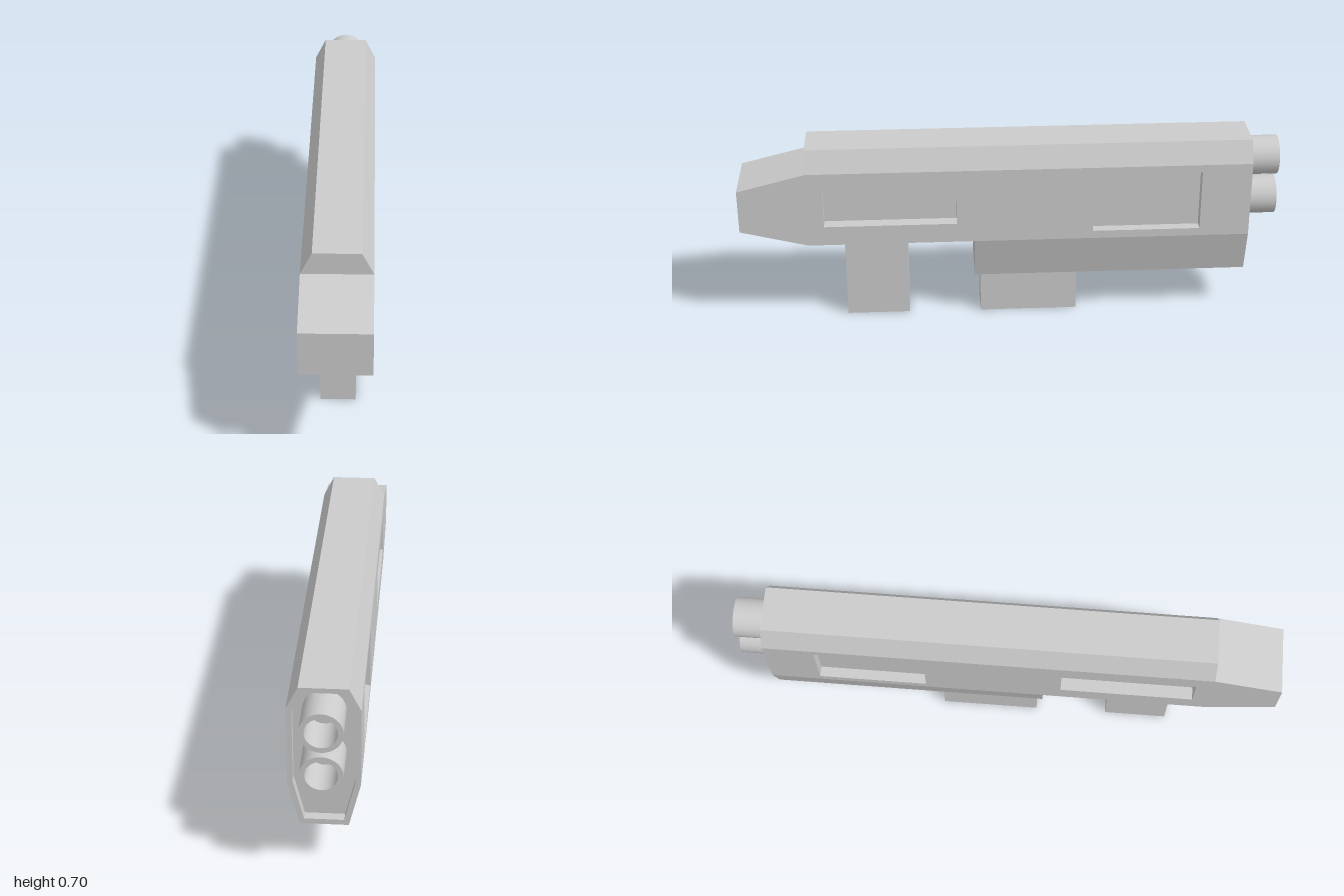
import * as THREE from 'three';

const grey = new THREE.MeshStandardMaterial({ color: 0xcccccc });
const inside = new THREE.MeshStandardMaterial({ color: 0xcccccc, side: THREE.BackSide });

// Collects flat polygons; each is wound to face the given outward direction.
class Skin {
  positions = [];
  face(points, outward) {
    const [a, b, c] = points.map((p) => new THREE.Vector3(...p));
    const normal = b.sub(a).cross(c.sub(a));
    const p = normal.dot(new THREE.Vector3(...outward)) < 0 ? [...points].reverse() : points;
    for (let i = 1; i < p.length - 1; i++) this.positions.push(...p[0], ...p[i], ...p[i + 1]);
  }
  // The same polygon on the left and the right side
  pair(points, outward) {
    for (const s of [1, -1]) {
      this.face(points.map(([x, y, z]) => [s * x, y, z]), [s * outward[0], outward[1], outward[2]]);
    }
  }
  mesh(name) {
    const geometry = new THREE.BufferGeometry();
    geometry.setAttribute('position', new THREE.Float32BufferAttribute(this.positions, 3));
    geometry.computeVertexNormals();
    const mesh = new THREE.Mesh(geometry, grey);
    mesh.name = name;
    return mesh;
  }
}

const W = 0.123, N = 0.083;                        // half widths: sides, top and keel
const TOP = 0.7, HIGH = 0.62, LOW = 0.33, KEEL = 0.165;
const NOSE_HIGH = 0.557, NOSE_LOW = 0.393;
const FRONT = 1, SHOULDER = 0.75, KEEL_FRONT = 0.135, BACK = -0.89;
const FLOOR = BACK + 0.035;                        // floor of the rear recess

const windows = [
  { z0: 0.2, z1: 0.69, y0: 0.405, y1: 0.55, depth: 0.048 },
  { z0: -0.705, z1: -0.305, y0: 0.36, y1: 0.59, depth: 0.038 },
];

function createHull() {
  const skin = new Skin();
  // Polygon across the full width between two edges [halfWidth, y, z]
  const across = ([w0, y0, z0], [w1, y1, z1], outward) =>
    skin.face([[-w0, y0, z0], [w0, y0, z0], [w1, y1, z1], [-w1, y1, z1]], outward);

  // Top, shoulder, nose, belly and keel
  across([N, TOP, BACK], [N, TOP, SHOULDER], [0, 1, 0]);
  across([N, TOP, SHOULDER], [W, HIGH, SHOULDER], [0, 0, 1]);
  across([W, HIGH, SHOULDER], [W, NOSE_HIGH, FRONT], [0, 1, 0]);
  across([W, NOSE_HIGH, FRONT], [W, NOSE_LOW, FRONT], [0, 0, 1]);
  across([W, NOSE_LOW, FRONT], [W, LOW, SHOULDER], [0, -1, 0]);
  across([W, LOW, SHOULDER], [W, LOW, KEEL_FRONT], [0, -1, 0]);
  across([W, LOW, KEEL_FRONT], [N, KEEL, KEEL_FRONT], [0, 0, 1]);
  across([N, KEEL, KEEL_FRONT], [N, KEEL, BACK], [0, -1, 0]);

  // Sloped upper and lower sides
  skin.pair([[N, TOP, BACK], [N, TOP, SHOULDER], [W, HIGH, SHOULDER], [W, HIGH, BACK]], [1, 0, 0]);
  skin.pair([[W, LOW, BACK], [W, LOW, KEEL_FRONT], [N, KEEL, KEEL_FRONT], [N, KEEL, BACK]], [1, 0, 0]);

  // Upright sides with window openings, drawn in (z, y)
  const v = (z, y) => new THREE.Vector2(z, y);
  const outline = [v(BACK, LOW), v(SHOULDER, LOW), v(FRONT, NOSE_LOW),
    v(FRONT, NOSE_HIGH), v(SHOULDER, HIGH), v(BACK, HIGH)];
  const holes = windows.map(({ z0, z1, y0, y1 }) => [v(z0, y0), v(z0, y1), v(z1, y1), v(z1, y0)]);
  const corners = [...outline, ...holes.flat()];
  for (const triangle of THREE.ShapeUtils.triangulateShape(outline, holes)) {
    skin.pair(triangle.map((i) => [W, corners[i].y, corners[i].x]), [1, 0, 0]);
  }

  // Window recesses
  for (const { z0, z1, y0, y1, depth } of windows) {
    const d = W - depth;
    skin.pair([[d, y0, z0], [d, y1, z0], [d, y1, z1], [d, y0, z1]], [1, 0, 0]);
    for (const [y, dir] of [[y0, 1], [y1, -1]]) {
      skin.pair([[W, y, z0], [W, y, z1], [d, y, z1], [d, y, z0]], [0, dir, 0]);
    }
    for (const [z, dir] of [[z0, 1], [z1, -1]]) {
      skin.pair([[W, y0, z], [W, y1, z], [d, y1, z], [d, y0, z]], [0, 0, dir]);
    }
  }

  // Rear rim, recess walls and recess floor
  const ring = (half) => [...half, ...half.map(([x, y]) => [-x, y]).reverse()];
  const outer = ring([[N, TOP], [W, HIGH], [W, LOW], [N, KEEL]]);
  const inner = ring([[0.07, 0.682], [0.104, 0.615], [0.104, 0.334], [0.068, 0.185]]);
  inner.forEach((p, i) => {
    const j = (i + 1) % inner.length, q = inner[j];
    skin.face([[...outer[i], BACK], [...outer[j], BACK], [...q, BACK], [...p, BACK]], [0, 0, -1]);
    skin.face([[...p, BACK], [...q, BACK], [...q, FLOOR], [...p, FLOOR]],
      [-(p[0] + q[0]), 0.88 - (p[1] + q[1]), 0]);
  });
  skin.face(inner.map((p) => [...p, FLOOR]), [0, 0, -1]);
  return skin.mesh('hull');
}

// Hollow pipe from the recess floor to the rear end
function createPipe(name, y, radius, bore) {
  const pipe = new THREE.Group();
  pipe.name = name;
  const length = FLOOR + 1;
  const wall = (r, material) =>
    new THREE.Mesh(new THREE.CylinderGeometry(r, r, length, 32, 1, true).rotateX(Math.PI / 2), material);
  const lip = new THREE.Mesh(new THREE.RingGeometry(bore, radius, 32).rotateY(Math.PI), grey);
  lip.position.z = -length / 2;
  pipe.add(wall(radius, grey), wall(bore, inside), lip);
  pipe.position.set(0, y, FLOOR - length / 2);
  return pipe;
}

function createBlock(name, halfWidth, height, z0, z1) {
  const block = new THREE.Mesh(new THREE.BoxGeometry(halfWidth * 2, height, z1 - z0), grey);
  block.name = name;
  block.position.set(0, height / 2, (z0 + z1) / 2);
  return block;
}

export function createModel() {
  const model = new THREE.Group();
  model.name = 'launcher';
  model.add(
    createHull(),
    createBlock('frontGrip', 0.0625, LOW, 0.385, 0.62),
    createBlock('rearGrip', 0.066, KEEL, -0.252, 0.113),
    createPipe('upperPipe', 0.6, 0.073, 0.055),
    createPipe('lowerPipe', 0.437, 0.073, 0.055),
  );
  return model;
}
